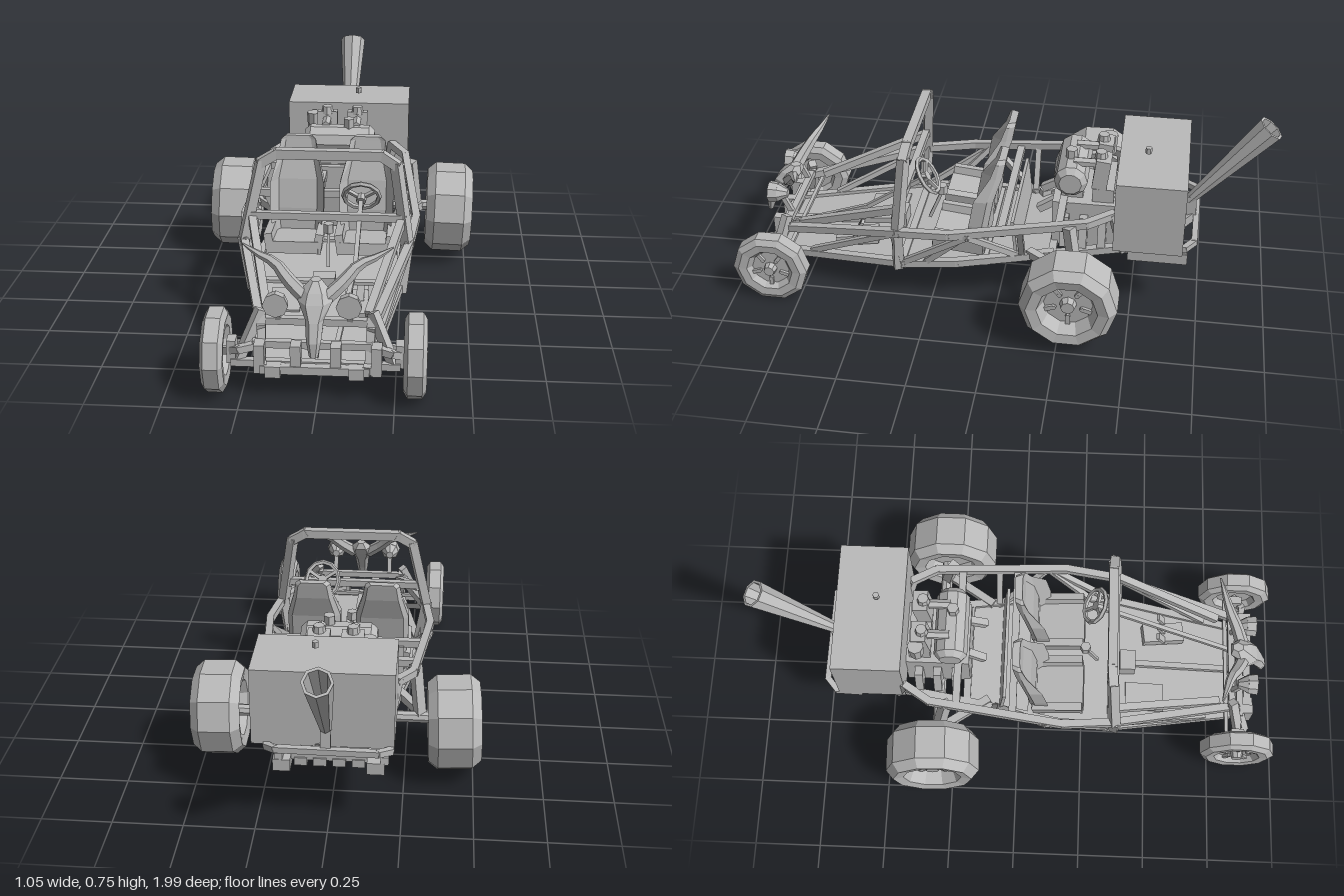
import * as THREE from 'three';

const grey = new THREE.MeshStandardMaterial({ color: 0xbababa });
grey.name = 'bareGrey';
const V = (p) => new THREE.Vector3(...p);

// Faceted mesh
function part(parent, name, geo, pos = [0, 0, 0], rot = [0, 0, 0]) {
  const g = geo.index ? geo.toNonIndexed() : geo;
  g.computeVertexNormals();
  const m = new THREE.Mesh(g, grey);
  m.name = name;
  m.position.set(...pos);
  m.rotation.set(...rot);
  parent.add(m);
  return m;
}
const box = (parent, name, size, pos, rot) => part(parent, name, new THREE.BoxGeometry(...size), pos, rot);
const cyl = (parent, name, r0, r1, h, n, pos, rot) =>
  part(parent, name, new THREE.CylinderGeometry(r0, r1, h, n), pos, rot);

// Square tubes along a chain of points
function bars(parent, name, pts, w = 0.028) {
  for (let i = 0; i + 1 < pts.length; i++) {
    const a = V(pts[i]), b = V(pts[i + 1]);
    const m = new THREE.Mesh(new THREE.BoxGeometry(w, w, a.distanceTo(b) + w * 0.5), grey);
    m.name = name;
    m.position.copy(a).add(b).multiplyScalar(0.5);
    m.lookAt(b);
    parent.add(m);
  }
}
function pair(parent, name, pts, w) {
  bars(parent, name + 'Left', pts, w);
  bars(parent, name + 'Right', pts.map(([x, y, z]) => [-x, y, z]), w);
}

// Solid through stacked loops; loops run anticlockwise seen from above
function loft(loops) {
  const pos = [], n = loops[0].length;
  const tri = (...v) => v.forEach((p) => pos.push(...p));
  const mid = (l) => [0, 1, 2].map((k) => l.reduce((s, p) => s + p[k], 0) / n);
  loops.forEach((a, j) => {
    const b = loops[j + 1];
    for (let i = 0; i < n; i++) {
      const k = (i + 1) % n;
      if (b) { tri(a[i], a[k], b[k]); tri(a[i], b[k], b[i]); }
      else tri(mid(a), a[i], a[k]);
      if (j === 0) tri(mid(a), a[k], a[i]);
    }
  });
  const g = new THREE.BufferGeometry();
  g.setAttribute('position', new THREE.Float32BufferAttribute(pos, 3));
  return g;
}

function wheel(parent, name, r, w, pos, side, lean = 0, toe = 0) {
  const g = new THREE.Group();
  g.name = name;
  const profile = [[0, -0.15], [0.5, -0.15], [0.6, -0.46], [0.84, -0.5], [1, -0.32], [1, 0.32],
    [0.84, 0.5], [0.62, 0.46], [0.5, 0.18], [0, 0.18]].map(([a, b]) => new THREE.Vector2(a * r, b * w));
  part(g, 'tyre', new THREE.LatheGeometry(profile, 10));
  const face = 0.18 * w;
  cyl(g, 'hub', r * 0.14, r * 0.18, 0.03, 8, [0, face + 0.012, 0]);
  for (let i = 0; i < 5; i++) {
    const a = (i / 5) * Math.PI * 2, x = Math.cos(a), z = Math.sin(a);
    cyl(g, 'wheelBolt', r * 0.05, r * 0.05, 0.012, 6, [x * r * 0.3, face + 0.005, z * r * 0.3]);
    box(g, 'spoke', [r * 0.22, 0.012, r * 0.1], [x * r * 0.4, face + 0.004, z * r * 0.4], [0, -a, 0]);
  }
  g.position.set(...pos);
  g.rotation.set(0, toe, -side * Math.PI / 2 + lean);
  parent.add(g);
}

function seat(parent, name, x) {
  const g = new THREE.Group();
  g.name = name;
  // height, half width, back-to-front offset, bolster depth
  const back = [[0.24, 0.088, 0.065, 0.05], [0.33, 0.1, 0.06, 0.05], [0.44, 0.1, 0.04, 0.05],
    [0.53, 0.075, 0.01, 0.022], [0.585, 0.065, 0.0, 0.012], [0.598, 0.05, -0.002, 0.008]];
  part(g, 'seatBack', loft(back.map(([y, w, z, f]) => [[-w, f], [-w * 0.72, 0.005], [w * 0.72, 0.005],
    [w, f], [w, 0], [w * 0.82, -0.022], [-w * 0.82, -0.022], [-w, 0]].map(([a, b]) => [a, y, z + b]))));
  box(g, 'seatCushion', [0.18, 0.045, 0.2], [0, 0.235, 0.15], [-0.12, 0, 0]);
  for (const s of [-1, 1]) box(g, 'seatBolster', [0.03, 0.075, 0.19], [s * 0.09, 0.25, 0.15], [-0.1, 0, s * -0.15]);
  g.position.x = x;
  parent.add(g);
}

export function createModel() {
  const car = new THREE.Group();
  car.name = 'buggy';
  const frame = new THREE.Group();
  frame.name = 'frame';
  frame.position.x = -0.01;
  car.add(frame);
  const floorY = (z) => 0.195 - 0.1 * z;

  // Floor pan and lower rails
  const edge = [[0.17, 0.9], [0.265, 0.35], [0.26, 0.15], [0.2, -0.2]];
  const outline = [...edge, ...edge.map(([x, z]) => [-x, z]).reverse()];
  part(frame, 'floorPan', loft([-0.008, 0.004].map((d) =>
    outline.map(([x, z]) => [x, floorY(z) + d, z]))));
  pair(frame, 'lowerRail', edge.map(([x, z]) => [x, floorY(z) + 0.004, z]));
  for (const [x, z] of [[0.17, 0.9], [0.26, 0.36], [0.245, 0.05], [0.2, -0.2]])
    bars(frame, 'floorCrossMember', [[-x, floorY(z), z], [x, floorY(z), z]]);

  // Upper rails, braces and roll hoop
  pair(frame, 'upperRail', [[0.18, 0.22, 0.84], [0.295, 0.325, 0.36], [0.315, 0.345, 0.17],
    [0.265, 0.412, -0.33], [0.21, 0.425, -0.42]]);
  pair(frame, 'cowlBrace', [[0.17, 0.245, 0.76], [0.265, 0.41, 0.36]]);
  pair(frame, 'noseUpright', [[0.175, 0.1, 0.88], [0.18, 0.25, 0.82]]);
  pair(frame, 'sideBrace', [[0.2, 0.14, 0.72], [0.29, 0.315, 0.38], [0.265, 0.165, 0.36], [0.315, 0.345, 0.1],
    [0.21, 0.2, -0.09], [0.29, 0.375, -0.09]], 0.022);
  pair(frame, 'diagonalBrace', [[0.262, 0.175, 0.27], [0.31, 0.35, 0.1]], 0.022);
  bars(frame, 'rollHoop', [[-0.265, 0.15, 0.375], [-0.295, 0.33, 0.365], [-0.233, 0.61, 0.34], [-0.178, 0.643, 0.335],
    [0.19, 0.643, 0.335], [0.242, 0.61, 0.34], [0.285, 0.33, 0.365], [0.265, 0.15, 0.375]], 0.034);
  bars(frame, 'dashBar', [[-0.275, 0.42, 0.36], [0.275, 0.42, 0.36]], 0.026);
  bars(frame, 'seatBar', [[-0.3, 0.36, -0.02], [0.29, 0.36, -0.02]]);
  bars(frame, 'engineBar', [[-0.275, 0.395, -0.23], [0.275, 0.395, -0.23]]);
  bars(frame, 'noseBar', [[-0.18, 0.24, 0.82], [0.18, 0.24, 0.82]], 0.024);
  box(frame, 'bulkhead', [0.44, 0.15, 0.012], [0, 0.285, -0.06], [0.1, 0, 0]);

  // Rear subframe and bumper loop
  pair(frame, 'rearLowerRail', [[0.2, 0.215, -0.2], [0.17, 0.25, -0.45], [0.18, 0.27, -0.69]]);
  pair(frame, 'rearUpright', [[0.21, 0.425, -0.42], [0.18, 0.25, -0.46]]);
  bars(car, 'rearBumper', [[-0.21, 0.3, -0.6], [-0.21, 0.31, -0.69], [-0.17, 0.32, -0.725], [0.18, 0.32, -0.72],
    [0.21, 0.31, -0.69], [0.21, 0.3, -0.6]], 0.022);

  // Wheels
  wheel(car, 'frontWheelLeft', 0.142, 0.075, [0.314, 0.141, 0.85], 1);
  wheel(car, 'frontWheelRight', 0.142, 0.075, [-0.337, 0.141, 0.85], -1);
  wheel(car, 'rearWheelLeft', 0.177, 0.18, [0.432, 0.21, -0.29], 1, -0.03);
  wheel(car, 'rearWheelRight', 0.177, 0.19, [-0.424, 0.203, -0.32], -1, -0.03, 0.04);

  // Rear axle, trailing arms and shocks
  cyl(car, 'rearAxle', 0.022, 0.022, 0.74, 8, [0, 0.21, -0.305], [0, 0, Math.PI / 2]);
  pair(car, 'trailingArm', [[0.2, 0.22, -0.12], [0.32, 0.21, -0.3]], 0.03);
  pair(car, 'rearShock', [[0.28, 0.4, -0.27], [0.3, 0.22, -0.3]], 0.035);

  // Front beams, suspension and steering links
  for (const [y, z, w] of [[0.11, 0.87, 0.27], [0.175, 0.86, 0.2]])
    bars(frame, 'frontBeam', [[-w, y, z], [w, y, z]], 0.024);
  for (const x of [-0.18, -0.062, 0.068, 0.2]) box(frame, 'beamBracket', [0.034, 0.1, 0.05], [x, 0.14, 0.885]);
  pair(frame, 'beamClamp', [[0.12, 0.1, 0.9], [0.15, 0.1, 0.9]], 0.04);
  pair(frame, 'frontArm', [[0.18, 0.17, 0.86], [0.25, 0.16, 0.88], [0.3, 0.14, 0.85]], 0.024);
  pair(frame, 'frontShock', [[0.185, 0.27, 0.82], [0.25, 0.12, 0.86]], 0.03);
  bars(frame, 'tieRod', [[-0.28, 0.15, 0.81], [0.28, 0.15, 0.81]], 0.014);
  for (const s of [-1, 1]) box(frame, 'steeringKnuckle', [0.03, 0.08, 0.05], [s * 0.275, 0.145, 0.85]);

  // Headlights
  for (const x of [-0.135, 0.1]) {
    cyl(car, 'headlight', 0.042, 0.038, 0.035, 8, [x, 0.33, 0.885], [Math.PI / 2, 0, 0]);
    cyl(car, 'headlightShell', 0.038, 0.015, 0.04, 8, [x, 0.33, 0.85], [Math.PI / 2, 0, 0]);
    bars(car, 'headlightStalk', [[x, 0.31, 0.85], [x, 0.24, 0.82]], 0.018);
  }

  // Horned skull mascot: height, z, half width, half depth
  const skull = [[0.175, 0.945, 0.014, 0.01], [0.225, 0.935, 0.024, 0.022], [0.285, 0.9, 0.03, 0.035],
    [0.335, 0.865, 0.056, 0.045], [0.365, 0.84, 0.045, 0.045], [0.392, 0.825, 0.018, 0.022]];
  part(car, 'skull', loft(skull.map(([y, z, w, d]) => [0, 1, 2, 3, 4, 5].map((i) => {
    const a = (i / 6) * Math.PI * 2;
    return [-0.01 + w * Math.cos(a), y, z - d * Math.sin(a)];
  }))));
  for (const s of [-1, 1]) {
    const curve = new THREE.CatmullRomCurve3([[0.03, 0.335, 0.85], [0.09, 0.385, 0.82], [0.135, 0.43, 0.79],
      [0.19, 0.45, 0.77], [0.245, 0.477, 0.75]].map(([x, y, z]) => new THREE.Vector3(s * x - 0.01, y, z)));
    const geo = new THREE.TubeGeometry(curve, 8, 0.025, 6), p = geo.attributes.position;
    for (let i = 0; i < p.count; i++) {
      const t = Math.floor(i / 7) / 8, c = curve.getPointAt(t), v = new THREE.Vector3().fromBufferAttribute(p, i);
      v.sub(c).multiplyScalar(1 - 0.88 * t * t).add(c);
      p.setXYZ(i, v.x, v.y, v.z);
    }
    part(car, s > 0 ? 'hornLeft' : 'hornRight', geo);
  }

  // Seats, steering, pedals and floor fittings
  seat(car, 'seatRight', -0.142);
  seat(car, 'seatLeft', 0.118);
  const steer = new THREE.Group();
  steer.name = 'steeringWheel';
  part(steer, 'steeringRim', new THREE.TorusGeometry(0.064, 0.009, 5, 12));
  for (let i = 0; i < 3; i++) {
    const a = Math.PI / 6 + (i * Math.PI * 2) / 3;
    bars(steer, 'steeringSpoke', [[0, 0, 0.01], [0.06 * Math.cos(a), 0.06 * Math.sin(a), 0]], 0.012);
  }
  cyl(steer, 'steeringBoss', 0.018, 0.018, 0.025, 8, [0, 0, 0.012], [Math.PI / 2, 0, 0]);
  steer.position.set(0.108, 0.468, 0.278);
  steer.rotation.x = 0.56;
  steer.scale.set(1, 1.1, 1);
  car.add(steer);
  bars(car, 'steeringColumn', [[0.108, 0.465, 0.28], [0.1, 0.3, 0.52], [0.06, 0.17, 0.82]], 0.016);
  bars(car, 'tunnelRod', [[-0.012, 0.17, 0.4], [-0.012, 0.135, 0.85]], 0.022);
  box(car, 'shifterBox', [0.08, 0.06, 0.06], [-0.015, 0.19, 0.42]);
  bars(car, 'gearLever', [[-0.01, 0.2, 0.3], [-0.012, 0.32, 0.25]], 0.012);
  cyl(car, 'gearKnob', 0.02, 0.02, 0.035, 6, [-0.012, 0.33, 0.25]);
  box(car, 'pedalBox', [0.075, 0.04, 0.16], [0.115, 0.17, 0.56], [0.1, 0.12, 0]);
  for (const x of [0.08, 0.12, 0.16]) box(car, 'pedal', [0.026, 0.055, 0.012], [x, 0.215, 0.55], [-0.5, 0, 0]);
  box(car, 'floorMat', [0.11, 0.008, 0.15], [-0.145, 0.154, 0.49], [0.1, 0, 0]);

  // Engine, intake drum and carburettors
  box(car, 'engineBlock', [0.24, 0.19, 0.24], [0, 0.31, -0.31]);
  for (const s of [-1, 1]) for (let i = 0; i < 3; i++)
    box(car, 'cylinderFin', [0.06, 0.12, 0.03], [s * 0.14, 0.3, -0.24 - i * 0.07], [0, 0, s * 0.2]);
  pair(car, 'engineMount', [[0.06, 0.41, -0.25], [0.07, 0.34, -0.14]], 0.028);
  const drum = [[0, -0.137], [0.042, -0.137], [0.062, -0.115], [0.062, 0.115], [0.042, 0.137], [0, 0.137]];
  part(car, 'intakeDrum', new THREE.LatheGeometry(drum.map(([r, y]) => new THREE.Vector2(r, y)), 10),
    [-0.003, 0.495, -0.255], [0, 0, Math.PI / 2]);
  box(car, 'drumSaddle', [0.16, 0.06, 0.08], [0, 0.425, -0.26]);
  cyl(car, 'fillerCap', 0.022, 0.022, 0.045, 6, [0.033, 0.565, -0.25]);
  for (const x of [-0.06, 0.06]) {
    box(car, 'carburettor', [0.08, 0.12, 0.055], [x, 0.52, -0.365], [-0.12, 0, 0]);
    cyl(car, 'carburettorCap', 0.02, 0.025, 0.03, 8, [x, 0.588, -0.36]);
    cyl(car, 'intakePipe', 0.018, 0.018, 0.1, 6, [x, 0.55, -0.31], [Math.PI / 2, 0, 0]);
  }
  cyl(car, 'distributor', 0.03, 0.025, 0.08, 8, [-0.115, 0.53, -0.38]);
  box(car, 'manifold', [0.2, 0.07, 0.08], [0, 0.425, -0.375]);

  // Rear crate, its bolt and the ribbed sump underneath
  box(car, 'rearCrate', [0.486, 0.285, 0.252], [0.021, 0.453, -0.553]);
  cyl(car, 'crateBolt', 0.012, 0.012, 0.022, 6, [0.056, 0.62, -0.53]);
  box(car, 'sump', [0.26, 0.07, 0.2], [0, 0.275, -0.56]);
  for (let i = 0; i < 4; i++) box(car, 'sumpRib', [0.045, 0.03, 0.21], [-0.1 + i * 0.066, 0.235, -0.56]);
  for (const s of [-1, 1]) box(car, 'silencer', [0.06, 0.045, 0.22], [s * 0.16, 0.24, -0.59]);
  box(car, 'gearbox', [0.14, 0.1, 0.18], [0, 0.25, -0.42]);

  // Flared, open exhaust stack
  const stack = [[0, 0], [0.02, 0], [0.052, 0.43], [0.042, 0.43], [0.015, 0.06], [0, 0.06]];
  part(car, 'exhaustStack', new THREE.LatheGeometry(stack.map(([r, y]) => new THREE.Vector2(r, y)), 8),
    [0.008, 0.385, -0.69], [-0.67, 0, 0]);
  bars(car, 'exhaustElbow', [[0.008, 0.4, -0.7], [0.008, 0.32, -0.705], [0.05, 0.28, -0.64]], 0.035);
  return car;
}
